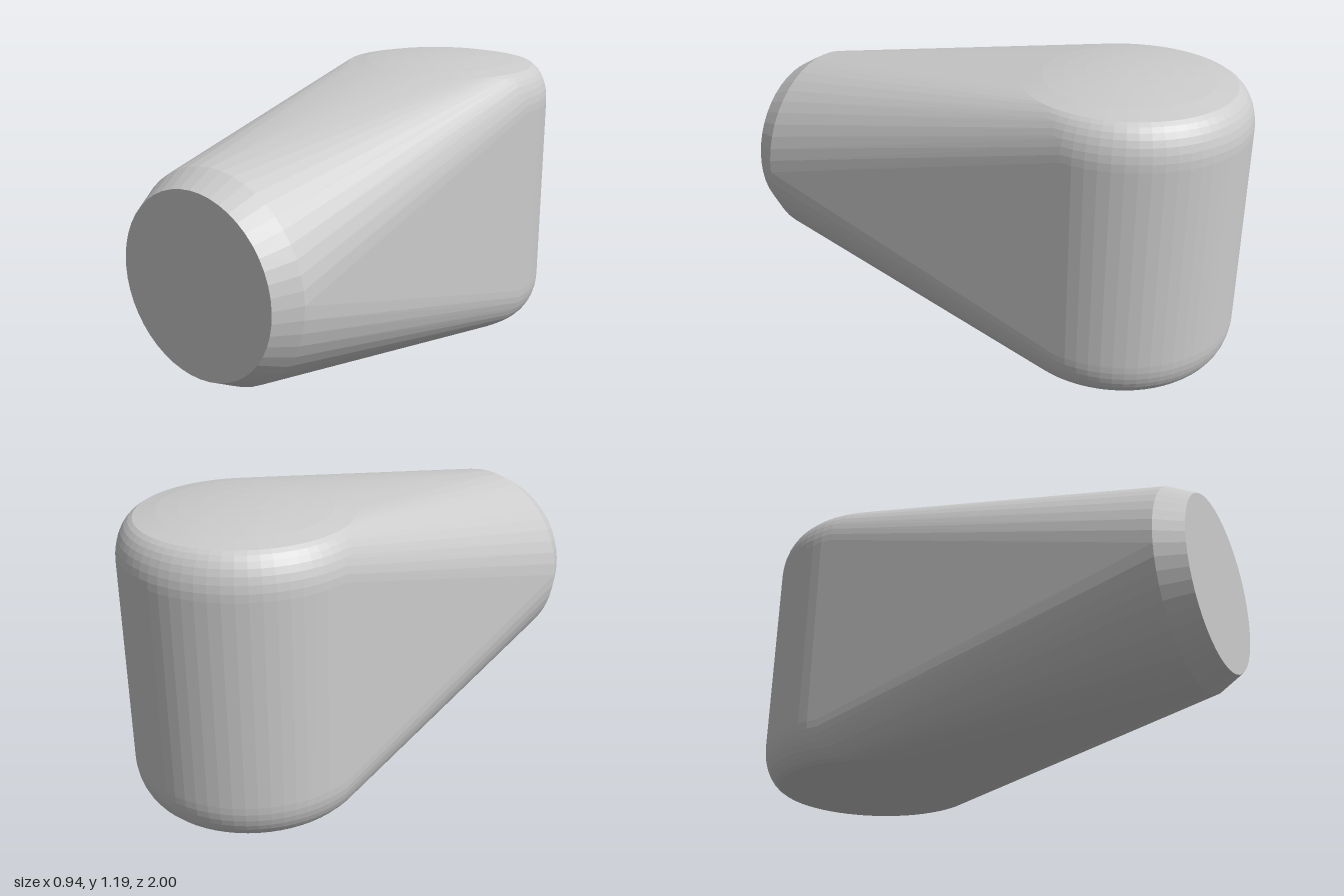
import * as THREE from 'three';
import { ConvexGeometry } from 'three/addons/geometries/ConvexGeometry.js';

const MID = 0.593; // half height, also the height of the round nose

export function createModel() {
  const group = new THREE.Group();
  const grey = new THREE.MeshStandardMaterial({ color: 0xcccccc });
  grey.name = 'light grey';
  const points = [];

  // Upright rear drum: half profile as [radius, height above the middle]
  const profile = [];
  for (let i = 0; i <= 7; i++) { // rounded shoulder
    const a = (i / 7) * 1.266;
    profile.push([0.37 + 0.1 * Math.cos(a), 0.4 + 0.163 * Math.sin(a)]);
  }
  for (const r of [0.32, 0.24, 0.16, 0.08]) { // shallow dome
    profile.push([r, MID - 0.035 * (r / 0.4) ** 2]);
  }
  const addRing = (n, place) => {
    for (let i = 0; i < n; i++) {
      const a = (i / n) * Math.PI * 2;
      points.push(place(Math.cos(a), Math.sin(a)));
    }
  };
  for (const [r, h] of profile) {
    for (const s of [1, -1]) {
      addRing(64, (c, d) => new THREE.Vector3(r * c, MID + s * h, -0.53 + r * d));
    }
  }
  points.push(new THREE.Vector3(0, 2 * MID, -0.53), new THREE.Vector3(0, 0, -0.53));

  // Round chamfered nose
  for (const [r, z] of [[0.4, 0.9], [0.345, 1]]) {
    addRing(48, (c, d) => new THREE.Vector3(r * c, MID + r * d, z));
  }

  // The skin stretched around drum and nose
  const body = new THREE.Mesh(new ConvexGeometry(points), grey);
  body.name = 'taperedBody';
  group.add(body);
  return group;
}
